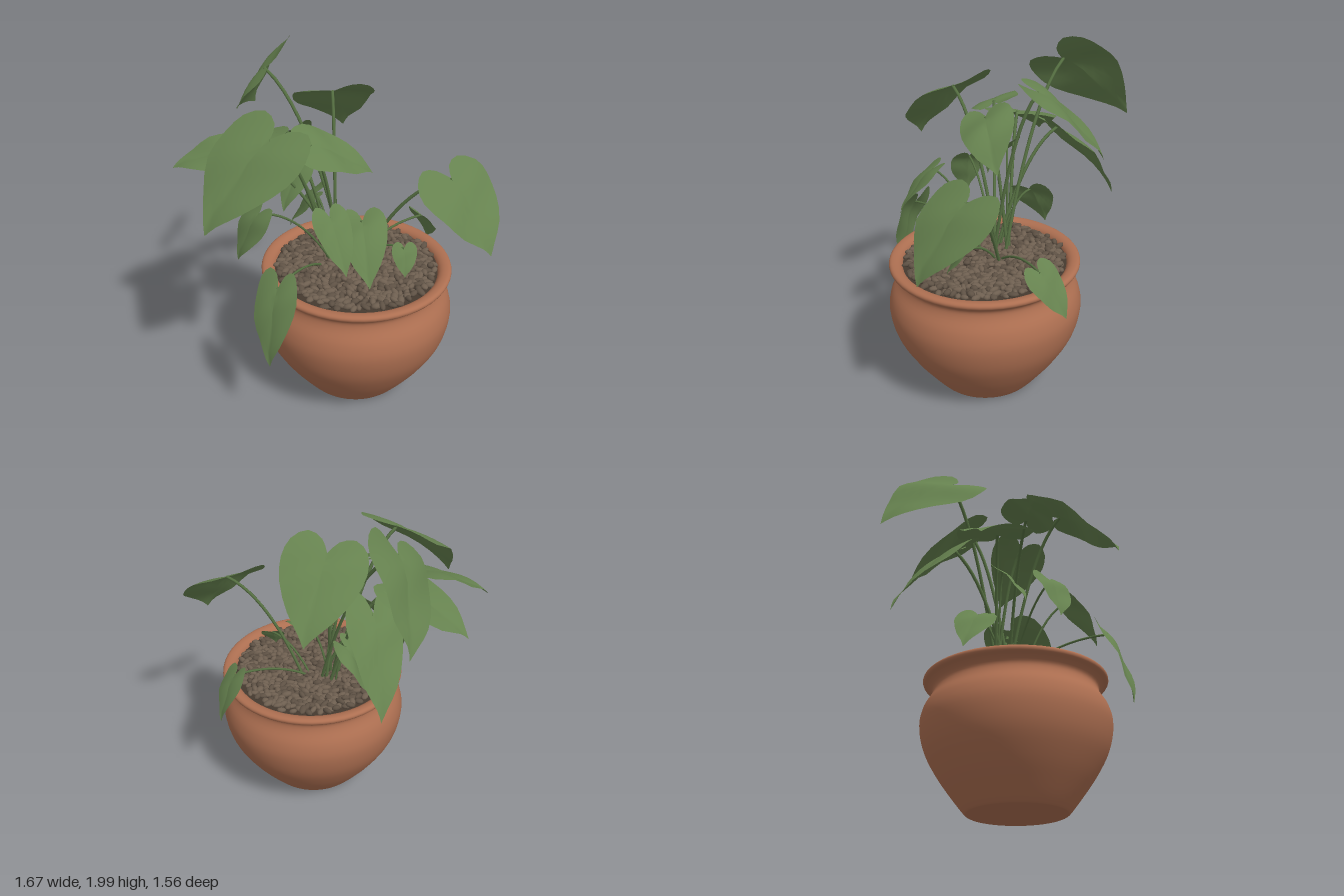
import * as THREE from 'three';
import { mergeGeometries } from 'three/addons/utils/BufferGeometryUtils.js';

const V = (a) => new THREE.Vector3(...a);
const POT_X = 0.11, POT_Z = 0.22;

// Small seeded generator
function seeded(seed) {
  return () => {
    seed = (seed * 16807) % 2147483647;
    return seed / 2147483647;
  };
}

// Heart-shaped blade: concentric rings of a heart outline, arched along the midrib.
// The length of the side vector is the blade's width.
function leafGeometry(base, tip, side) {
  const half = new THREE.CatmullRomCurve3([
    [1, 0], [0.88, 0.09], [0.68, 0.27], [0.4, 0.43], [0.12, 0.5],
    [-0.1, 0.45], [-0.23, 0.28], [-0.17, 0.1], [-0.02, 0],
  ].map(([x, y]) => new THREE.Vector3(x, y, 0))).getPoints(16);
  const mirrored = half.slice(1, -1).reverse().map((p) => new THREE.Vector3(p.x, -p.y, 0));
  const outline = [...half, ...mirrored];

  const axis = tip.clone().sub(base);
  const length = axis.length(), width = side.length();
  axis.normalize();
  const across = side.clone().addScaledVector(axis, -side.dot(axis)).normalize();
  const normal = new THREE.Vector3().crossVectors(axis, across);
  if (normal.y < 0) { normal.negate(); across.negate(); }

  const pos = [], idx = [], rings = 5, n = outline.length, cx = 0.1;
  const add = (x, y) => {
    const lift = 0.26 * x * (1 - x) - 0.25 * y * y + 0.1 * Math.abs(y) + 0.02 * Math.sin(9 * x + 5 * y);
    const p = base.clone().addScaledVector(axis, x * length)
      .addScaledVector(across, y * width)
      .addScaledVector(normal, lift * length);
    pos.push(p.x, p.y, p.z);
  };
  add(cx, 0);
  for (let r = 1; r <= rings; r++) {
    for (const p of outline) add(cx + (p.x - cx) * r / rings, p.y * r / rings);
  }
  for (let j = 0; j < n; j++) {
    const k = (j + 1) % n;
    idx.push(0, 1 + j, 1 + k);
    for (let r = 0; r < rings - 1; r++) {
      const a = 1 + r * n, b = a + n;
      idx.push(a + j, b + j, b + k, a + j, b + k, a + k);
    }
  }
  const g = new THREE.BufferGeometry();
  g.setAttribute('position', new THREE.Float32BufferAttribute(pos, 3));
  g.setIndex(idx);
  g.computeVertexNormals();
  return g;
}

// Stem rising from the crown and arching over to the leaf base; low leaves root further out
function stemGeometry(base, angle, radius) {
  const spread = base.y < 1.4 ? 0.2 : 0.05;
  const root = new THREE.Vector3(0.05 + 0.05 * Math.cos(angle), 0.78, 0.11 + 0.05 * Math.sin(angle));
  root.x += (base.x - root.x) * spread;
  root.z += (base.z - root.z) * spread;
  const mid = root.clone().lerp(base, 0.45);
  mid.y = root.y + (base.y - root.y) * 0.8 + 0.05;
  return new THREE.TubeGeometry(new THREE.QuadraticBezierCurve3(root, mid, base), 14, radius, 6);
}

// Stem end, leaf tip and width vector of each leaf
const LEAVES = [
  { base: [-0.22, 1.83, -0.37], tip: [-0.16, 1.47, -0.77], side: [0.3, 0.42, 0] },
  { base: [0.09, 1.74, -0.11], tip: [0.29, 1.38, -0.42], side: [0.39, 0.11, 0.23] },
  { base: [-0.32, 1.5, -0.12], tip: [-0.64, 1.26, -0.38], side: [0.29, 0.02, -0.33] },
  { base: [-0.5, 1.52, -0.03], tip: [-0.83, 1.4, -0.17], side: [-0.1, -0.1, 0.27] },
  { base: [-0.41, 1.67, 0.25], tip: [-0.8, 1.26, 0.37], side: [0.15, -0.14, 0.52] },
  { base: [0.57, 1.36, 0.45], tip: [0.68, 1.0, 0.73], side: [0.5, -0.03, -0.15] },
  { base: [0.61, 0.92, 0.06], tip: [0.72, 0.68, -0.05], side: [0, 0.09, 0.18] },
  { base: [-0.47, 0.93, 0.5], tip: [-0.55, 0.5, 0.58], side: [0.16, 0.03, 0.19] },
  { base: [-0.45, 1.2, 0.15], tip: [-0.57, 0.92, 0.13], side: [0.06, 0.03, 0.24] },
  { base: [-0.12, 1.45, -0.3], tip: [-0.07, 1.0, -0.65], side: [0.31, 0.08, 0] },
  { base: [-0.14, 1.55, 0.13], tip: [0.22, 1.33, 0.17], side: [0.05, -0.18, 0.27] },
  { base: [-0.15, 1.27, 0.45], tip: [-0.14, 1.02, 0.65], side: [0.2, 0, 0.02] },
  { base: [0.13, 1.08, 0.25], tip: [0.05, 0.82, 0.54], side: [0.26, 0.08, 0.03] },
  { base: [0.32, 0.95, 0.41], tip: [0.29, 0.81, 0.49], side: [0.14, 0, 0.04] },
  { base: [-0.02, 1.12, -0.1], tip: [-0.13, 0.84, -0.24], side: [0.14, 0.05, -0.19] },
  { base: [-0.15, 1.37, 0], tip: [-0.28, 1.14, 0.08], side: [0.1, 0, 0.17] },
];

export function createModel() {
  const model = new THREE.Group();
  const material = (name, color, side = THREE.FrontSide) => {
    const m = new THREE.MeshStandardMaterial({ color, side });
    m.name = name;
    return m;
  };
  const clay = material('terracotta', 0xad6f51);
  const leafGreen = material('leaf green', 0x66824f, THREE.DoubleSide);
  const stemGreen = material('stem green', 0x567042);
  const soilBrown = material('soil brown', 0x45392f);
  const stoneBrown = material('pebble brown', 0x6e5f50);
  const stoneDark = material('dark pebble brown', 0x5e5144);
  const add = (name, geometry, mat, parent) => {
    const mesh = new THREE.Mesh(geometry, mat);
    mesh.name = name;
    parent.add(mesh);
  };

  // Pot: round belly, narrow neck, rolled rim, flat base
  const pot = new THREE.Group();
  pot.name = 'pot';
  pot.position.set(POT_X, 0, POT_Z);
  model.add(pot);
  const profile = new THREE.SplineCurve([
    [0.285, 0], [0.305, 0.012], [0.375, 0.1], [0.46, 0.22], [0.535, 0.36], [0.565, 0.5], [0.548, 0.6],
    [0.505, 0.675], [0.495, 0.72], [0.52, 0.752], [0.548, 0.77], [0.552, 0.79],
    [0.535, 0.802], [0.5, 0.797], [0.475, 0.77], [0.465, 0.7],
  ].map(([x, y]) => new THREE.Vector2(x, y))).getPoints(60);
  add('potWall', new THREE.LatheGeometry(profile, 56), clay, pot);
  add('potBase', new THREE.CircleGeometry(0.285, 56).rotateX(Math.PI / 2), clay, pot);
  add('soil', new THREE.CircleGeometry(0.475, 48).rotateX(-Math.PI / 2).translate(0, 0.77, 0), soilBrown, pot);

  // Pebbles spread evenly in a sunflower pattern
  const rand = seeded(71);
  const stones = [[], []];
  const count = 560;
  for (let i = 0; i < count; i++) {
    const r = 0.458 * Math.sqrt((i + 0.5) / count), a = i * 2.39996 + 0.03 * rand();
    const g = new THREE.SphereGeometry(1, 8, 6);
    g.scale(0.024 + 0.014 * rand(), 0.012 + 0.006 * rand(), 0.015 + 0.007 * rand());
    g.rotateZ((rand() - 0.5) * 0.7).rotateY(rand() * Math.PI);
    g.translate(r * Math.cos(a), 0.778 + 0.018 * rand(), r * Math.sin(a));
    stones[rand() < 0.6 ? 0 : 1].push(g);
  }
  add('pebbles', mergeGeometries(stones[0]), stoneBrown, pot);
  add('darkPebbles', mergeGeometries(stones[1]), stoneDark, pot);

  // Leaves, each with its own stem
  const plant = new THREE.Group();
  plant.name = 'plant';
  model.add(plant);
  LEAVES.forEach((leaf, i) => {
    const base = V(leaf.base), side = V(leaf.side);
    add('leaf', leafGeometry(base, V(leaf.tip), side), leafGreen, plant);
    add('stem', stemGeometry(base, i * 2.4, side.length() > 0.28 ? 0.01 : 0.007), stemGreen, plant);
  });

  return model;
}
